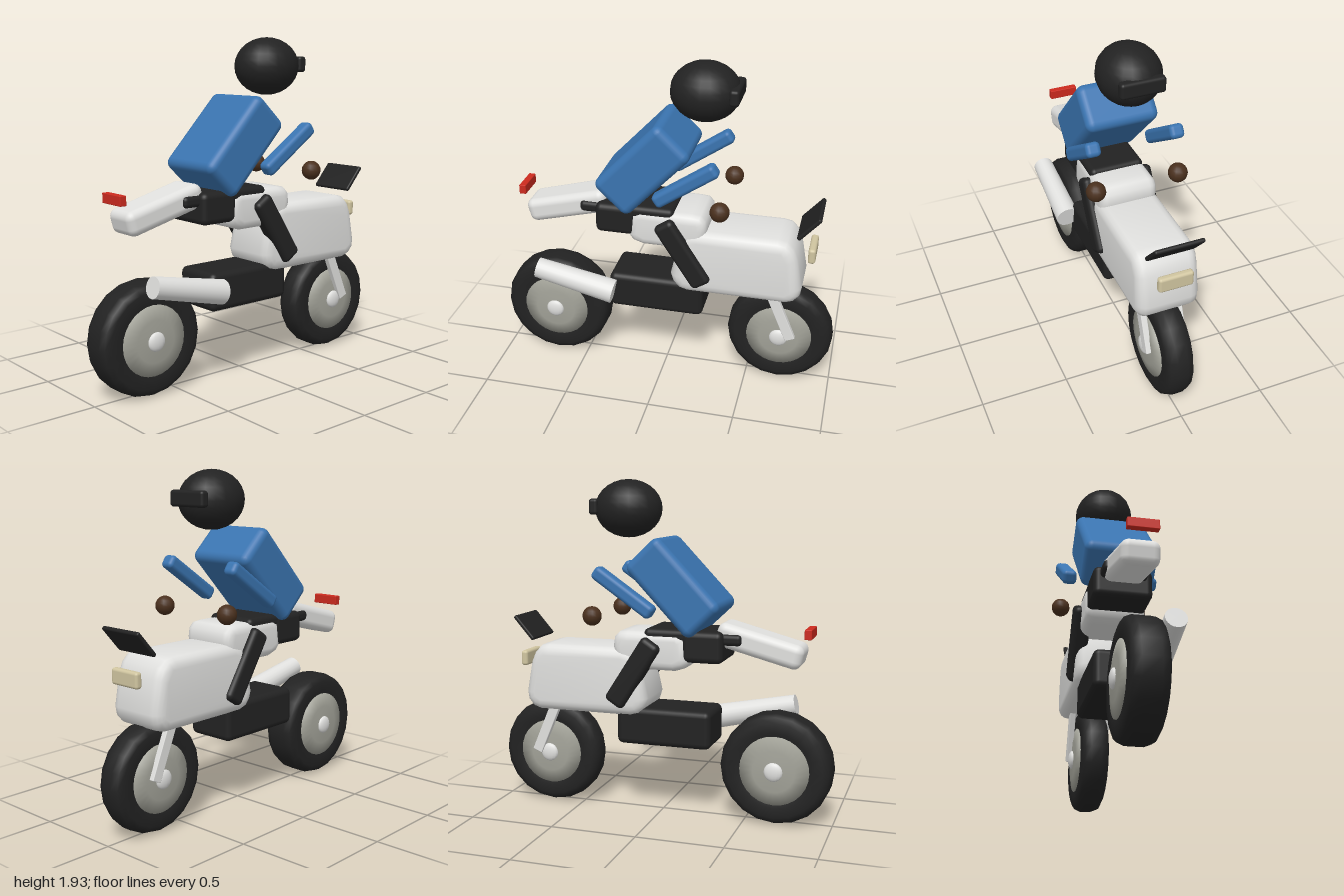
import * as THREE from 'three';
import { toCreasedNormals } from 'three/addons/utils/BufferGeometryUtils.js';
import { RoundedBoxGeometry } from 'three/addons/geometries/RoundedBoxGeometry.js';

const material = (name, color) => {
  const m = new THREE.MeshStandardMaterial({ color });
  m.name = name;
  return m;
};

export function createModel() {
  const black = material('black', 0x222222);
  const white = material('white', 0xe0e0de);
  const steel = material('steel', 0xa2a298);
  const blue = material('blue', 0x3a74b0);
  const brown = material('brown', 0x4a301d);
  const red = material('red', 0xcc2a1e);
  const cream = material('cream', 0xd0c5a0);

  const model = new THREE.Group();
  model.name = 'motorcycleAndRider';

  const add = (name, geometry, mat, [x, y, z], tilt = 0, parent = model) => {
    const mesh = new THREE.Mesh(geometry, mat);
    mesh.name = name;
    mesh.position.set(x, y, z);
    mesh.rotation.x = tilt;
    parent.add(mesh);
    return mesh;
  };
  const box = (name, mat, [w, h, d], radius, position, tilt) =>
    add(name, new RoundedBoxGeometry(w, h, d, 3, radius), mat, position, tilt);

  // Side profile of [z, y] points, swept across x with rounded edges
  const sideBody = (name, mat, points, halfWidth, bevel) => {
    const shape = new THREE.Shape(points.map(([z, y]) => new THREE.Vector2(-z, y)));
    const depth = 2 * (halfWidth - bevel);
    const geometry = new THREE.ExtrudeGeometry(shape, {
      depth, bevelEnabled: true, bevelThickness: bevel, bevelSize: bevel,
      bevelOffset: -bevel, bevelSegments: 4,
    });
    geometry.translate(0, 0, -depth / 2).rotateY(Math.PI / 2);
    return add(name, toCreasedNormals(geometry, 0.85), mat, [0, 0, 0]);
  };

  // Lathe around the axle
  const axleLathe = (points, segments) =>
    new THREE.LatheGeometry(points.map(([r, x]) => new THREE.Vector2(r, x)), segments)
      .rotateZ(Math.PI / 2);

  // Wheels: tyre, domed disc and hub
  const wheel = (name, r, half, z) => {
    const group = new THREE.Group();
    group.name = name;
    group.position.set(0, r, z);
    model.add(group);
    const rim = r * 0.62;
    const tyre = [
      [rim - 0.02, -half + 0.01], [rim + 0.02, -half], [r - 0.045, -half], [r - 0.015, -half + 0.014],
      [r, -half + 0.05], [r, half - 0.05], [r - 0.015, half - 0.014],
      [r - 0.045, half], [rim + 0.02, half], [rim - 0.02, half - 0.01],
    ];
    add('tyre', axleLathe(tyre, 20), black, [0, 0, 0], 0, group);
    const w = half + 0.02;
    const disc = [[0, -w], [rim * 0.6, -w + 0.004], [rim, -half], [rim, half], [rim * 0.6, w - 0.004], [0, w]];
    add('disc', axleLathe(disc, 28), steel, [0, 0, 0], 0, group);
    for (const side of [-1, 1]) {
      const hub = add('hub', new THREE.SphereGeometry(0.054, 14, 10), white, [side * w, 0, 0], 0, group);
      hub.scale.x = 0.4;
    }
  };
  wheel('rearWheel', 0.32, 0.1, 0.68);
  wheel('frontWheel', 0.31, 0.08, -0.69);

  // Main fairing and mid body
  sideBody('fairing', white, [
    [-0.05, 0.69], [-0.065, 0.64], [-0.1, 0.6], [-0.15, 0.585], [-0.72, 0.585],
    [-0.765, 0.6], [-0.8, 0.64], [-0.808, 0.69], [-0.775, 0.87], [-0.75, 0.93],
    [-0.71, 0.97], [-0.66, 0.98], [-0.2, 0.98], [-0.14, 0.965], [-0.105, 0.93],
  ], 0.18, 0.06);
  sideBody('midBody', white, [
    [0.2, 0.92], [0.17, 0.88], [0.11, 0.86], [-0.16, 0.86], [-0.21, 0.875], [-0.245, 0.92],
    [-0.258, 0.99], [-0.25, 1.045], [-0.22, 1.075], [-0.17, 1.08], [0.13, 1.08], [0.18, 1.05],
  ], 0.17, 0.05);

  // Tail, seat and engine
  const tail = new RoundedBoxGeometry(0.23, 0.14, 0.5, 3, 0.045);
  const p = tail.attributes.position;
  for (let i = 0; i < p.count; i++) p.setX(i, p.getX(i) * (0.95 - 0.2 * p.getZ(i)));
  add('tail', tail, white, [0, 1.02, 0.58], 0.26);
  box('seat', black, [0.33, 0.18, 0.24], 0.035, [0, 1.005, 0.27]);
  box('seatRail', black, [0.26, 0.065, 0.5], 0.025, [0, 1.05, 0.24]);
  box('seatFront', black, [0.32, 0.075, 0.3], 0.03, [0, 1.063, 0.08]);
  box('engine', black, [0.3, 0.22, 0.56], 0.035, [0, 0.525, 0.04]);

  // Exhaust on the left side
  const exhaust = new THREE.CylinderGeometry(0.06, 0.071, 0.475, 20).rotateX(Math.PI / 2);
  add('exhaust', exhaust, white, [0.188, 0.592, 0.515], -0.215);

  // Lights and windscreen
  box('tailLight', red, [0.17, 0.055, 0.04], 0.004, [0, 1.095, 0.85]);
  box('headlight', cream, [0.2, 0.09, 0.042], 0.016, [0, 0.875, -0.847]);
  box('windscreen', black, [0.28, 0.18, 0.024], 0.01, [0, 1.065, -0.825], -0.72);

  // Rider
  box('torso', blue, [0.42, 0.545, 0.268], 0.045, [0, 1.335, 0.107], -0.76);
  const head = add('helmet', new THREE.SphereGeometry(1, 20, 14), black, [0, 1.765, -0.21]);
  head.scale.set(0.175, 0.165, 0.195);
  box('visor', black, [0.25, 0.09, 0.055], 0.018, [0, 1.775, -0.383]);

  // Mirrored pairs
  for (const side of [-1, 1]) {
    const s = side < 0 ? 'right' : 'left';
    box(s + 'Fork', white, [0.035, 0.34, 0.06], 0.004, [side * 0.107, 0.475, -0.695], 0.4);
    box(s + 'Leg', black, [0.1, 0.44, 0.125], 0.03, [side * 0.16, 0.843, -0.128], 0.57);
    box(s + 'Arm', blue, [0.083, 0.08, 0.41], 0.025, [side * 0.24, 1.31, -0.155], 0.6);
    add(s + 'Hand', new THREE.SphereGeometry(0.055, 14, 10), brown, [side * 0.24, 1.17, -0.345]);
  }
  return model;
}
